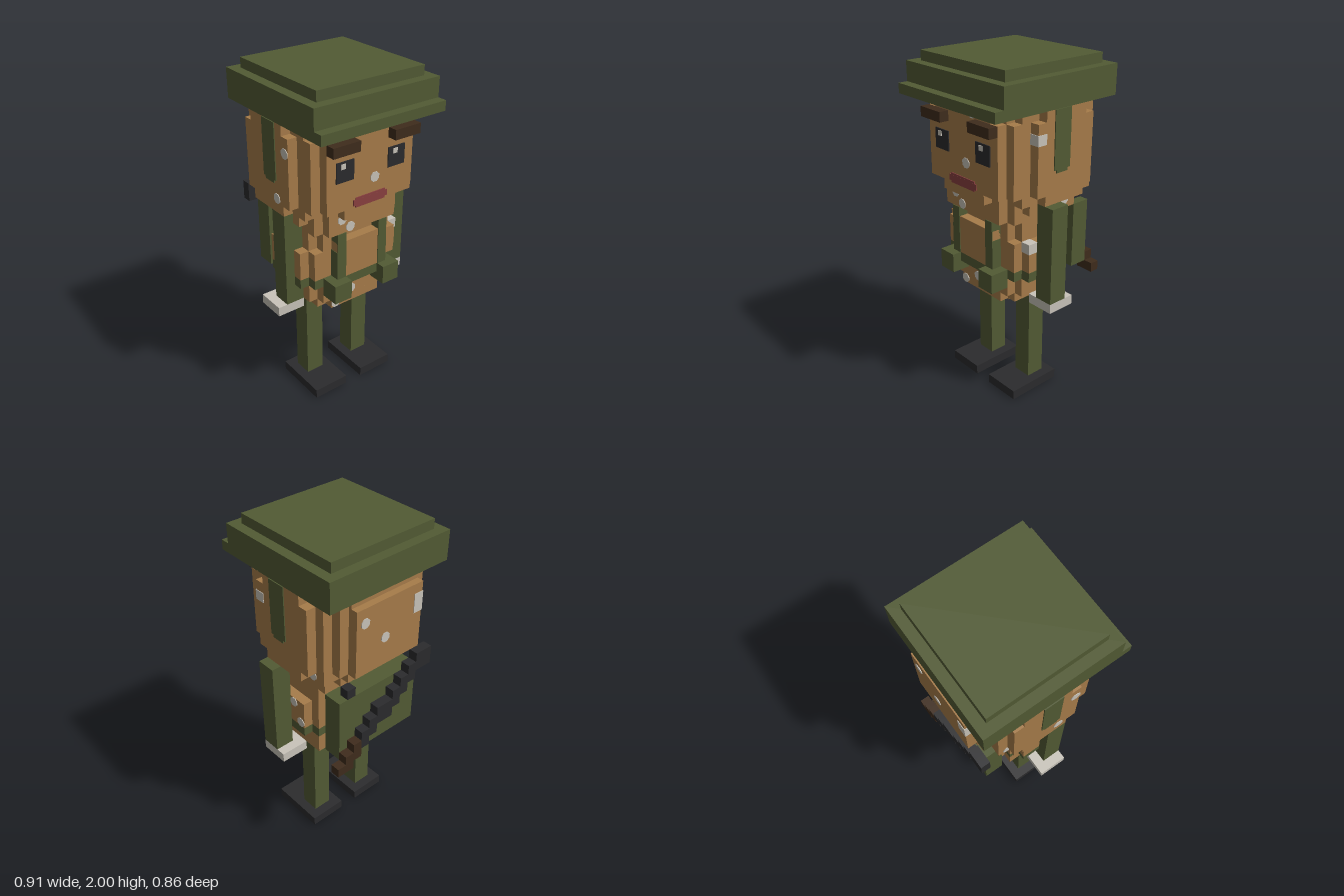
import * as THREE from 'three';

const V = 2 / 35; // one block

const mat = (name, color) => Object.assign(new THREE.MeshStandardMaterial({ color }), { name });

export function createModel() {
  const model = new THREE.Group();
  model.name = 'blockySoldier';
  const green = mat('olive', 0x525b34);
  const skin = mat('skin', 0xa77c4a);
  const pale = mat('pale', 0xc9c4ba);
  const black = mat('black', 0x2b2b2d);
  const wood = mat('darkBrown', 0x3f2c1c);
  const red = mat('lip', 0x8a4040);

  const add = (name, geometry, material) => {
    const mesh = new THREE.Mesh(geometry, material);
    mesh.name = name;
    model.add(mesh);
    return mesh;
  };

  // Box from its limits, in blocks
  const block = (name, material, x0, x1, y0, y1, z0, z1) => {
    const g = new THREE.BoxGeometry((x1 - x0) * V, (y1 - y0) * V, (z1 - z0) * V);
    g.translate((x0 + x1) / 2 * V, (y0 + y1) / 2 * V, (z0 + z1) / 2 * V);
    return add(name, g, material);
  };

  // Layer with a stepped outline; steps are [halfWidth, back, front], widest first
  const layer = (name, material, y0, y1, steps) => {
    const n = steps.length;
    const right = [];
    for (let i = n - 1; i >= 0; i--) {
      const [w, back] = steps[i];
      right.push([w, back]);
      if (i > 0) right.push([w, steps[i - 1][1]]);
    }
    for (let i = 0; i < n; i++) {
      const [w, , front] = steps[i];
      if (i > 0) right.push([w, steps[i - 1][2]]);
      right.push([w, front]);
    }
    const outline = [...right, ...right.slice().reverse().map(([x, z]) => [-x, z])];
    const shape = new THREE.Shape(outline.map(([x, z]) => new THREE.Vector2(x * V, -z * V)));
    const g = new THREE.ExtrudeGeometry(shape, { depth: (y1 - y0) * V, bevelEnabled: false });
    g.rotateX(-Math.PI / 2).translate(0, y0 * V, 0);
    return add(name, g, material);
  };

  // Thin eight-sided spot facing along an axis
  const spot = (axis, x, y, z) => {
    const g = new THREE.CylinderGeometry(0.53 * V, 0.53 * V, 0.008, 8);
    g.rotateY(Math.PI / 8);
    if (axis === 'x') g.rotateZ(Math.PI / 2);
    else g.rotateX(Math.PI / 2);
    g.translate(x * V, y * V, z * V);
    return add('spot', g, pale);
  };

  // Hat
  block('hatTop', green, -6, 6, 34, 35, -6.5, 5.5);
  block('hatBand', green, -7, 7, 31, 34, -7.5, 6.5);
  block('hatBrim', green, -7, 7, 31, 32, 6.5, 7.5);

  // Head
  layer('headTop', skin, 30, 31, [[7, -3.5, 1.5], [6, -5.5, 3.5], [5, -6.5, 4.5], [4, -6.8, 5.5]]);
  layer('head', skin, 23, 30, [[7, -4.5, 2.5], [6, -5.5, 4.5], [5, -6.5, 5.5], [4, -7.5, 5.5]]);
  layer('jaw', skin, 22, 23, [[7, -3.5, 1.5], [6, -5.5, 3.5], [4, -6.5, 4.5], [3, -6.5, 5.5]]);
  layer('chin', skin, 21, 22, [[6, -2.5, 2.5], [5, -4.5, 3.5], [4, -5.5, 4.5]]);

  // Torso, from neck to hips
  layer('chest', skin, 20, 21, [[5, -4.5, 3.5], [4, -4.5, 4.5]]);
  layer('upperTorso', skin, 19, 20, [[5, -3.5, 2.5], [4, -4.5, 3.5]]);
  layer('belly', skin, 18, 19, [[5, -3.5, 2.5], [4, -4.5, 3.5], [3, -4.5, 4.5]]);
  layer('lowerBelly', skin, 15, 18, [[6, -2.5, 2.5], [5, -3.5, 3.5], [3, -4.5, 4.5]]);
  layer('belt', green, 14, 15, [[6, -2.5, 2.5], [5, -3.5, 3.5], [4, -4.5, 4.5]]);
  layer('waist', skin, 12, 14, [[5, -3.5, 2.5], [4, -4.5, 3.5]]);
  layer('hips', skin, 11, 12, [[4, -2.5, 2.5], [3, -4.5, 3.5]]);
  layer('hipBase', skin, 10, 11, [[2, -2.5, 1.5]]);

  // Face, straps, pouches, legs and feet on both sides
  for (const s of [-1, 1]) {
    const pair = (name, m, a, b, ...rest) => block(name, m, Math.min(s * a, s * b), Math.max(s * a, s * b), ...rest);
    pair('eyebrow', wood, 2, 5, 29, 30, 5.5, 6.5);
    pair('eye', black, 2, 4, 26, 28, 5.5, 5.6);
    const hx = s < 0 ? -3.25 : 2.8;
    block('eyeHighlight', pale, hx - 0.25, hx + 0.25, 27.3, 27.8, 5.6, 5.68);
    pair('chinStrap', green, 7, 7.1, 25.3, 31, -1.5, 0.5);
    pair('chinStrapEnd', green, 7, 7.1, 25, 25.3, -1.2, 0.2);
    pair('shoulderStrap', green, 2, 3, 18, 20, 3.5, 4.58);
    pair('lowerStrap', green, 2, 3.05, 15, 18, 3.5, 4.58);
    pair('pouch', green, 2, 4, 13, 15, 3.5, 5.5);
    pair('leg', green, 2, 4, 1, 11.1, -1.5, 0.5);
    pair('foot', black, 1, 5, 0, 1, -2.5, 3.5);
  }
  block('mouth', red, -2, 2, 23.2, 23.8, 5.5, 5.6);
  block('mouthMiddle', red, -1.75, 1.75, 23, 24, 5.5, 5.59);

  // Arms and hands, the right arm set closer to the body
  block('leftArm', green, 6, 8, 12, 22, -0.5, 1.5);
  block('rightArm', green, -7, -5, 12, 22, -0.5, 1.5);
  block('leftHand', pale, 5, 8, 11, 12, -1.5, 1.5);
  block('rightHand', pale, -8, -5, 11, 12, -1.5, 1.5);

  // Backpack with a knob on top
  block('backpack', green, -5, 5, 13, 20, -6.5, -4.5);
  block('backpackKnob', black, 3, 4, 20, 21, -6.5, -5.5);

  // Stepped rifle slung across the back
  for (let i = 0; i < 12; i++) {
    const top = i === 11 ? 13 : 22 - Math.floor(i * 0.8);
    const bottom = i === 11 ? 12 : top - 2;
    block(i < 9 ? 'rifleBarrel' : 'rifleStock', i < 9 ? black : wood, i - 6, i - 5, bottom, top, -7.5, -6.5);
  }

  // Pale spots on front, sides and back
  const front = [[1.5, 30.5, 5.5], [0.5, 25.5, 5.5], [-2.5, 21.5, 4.5], [-1.5, 20.5, 4.5],
    [-0.5, 12.5, 3.5], [-2.5, 11.5, 3.5]];
  for (const p of front) spot('z', ...p);
  const back = [[3, 28.5, -7.5], [0.5, 26, -7.5], [-2.5, 11.5, -4.5]];
  for (const p of back) spot('z', ...p);
  const sides = [[6, 22.5, -4], [6, 21.5, -2], [6, 17.5, -1], [6, 15.5, -2],
    [-7, 28.5, 2], [-7, 23.5, 0.5], [-6, 22.5, -4.5]];
  for (const p of sides) spot('x', ...p);
  block('cheekSpot', pale, 6, 7.06, 28, 29, 1.5, 2.56);
  block('neckSpot', pale, -4.05, -3, 27, 29, -7.56, -6.5);
  block('sideSpot', pale, 5, 6.05, 17, 18.05, 1.5, 2.56);

  return model;
}
